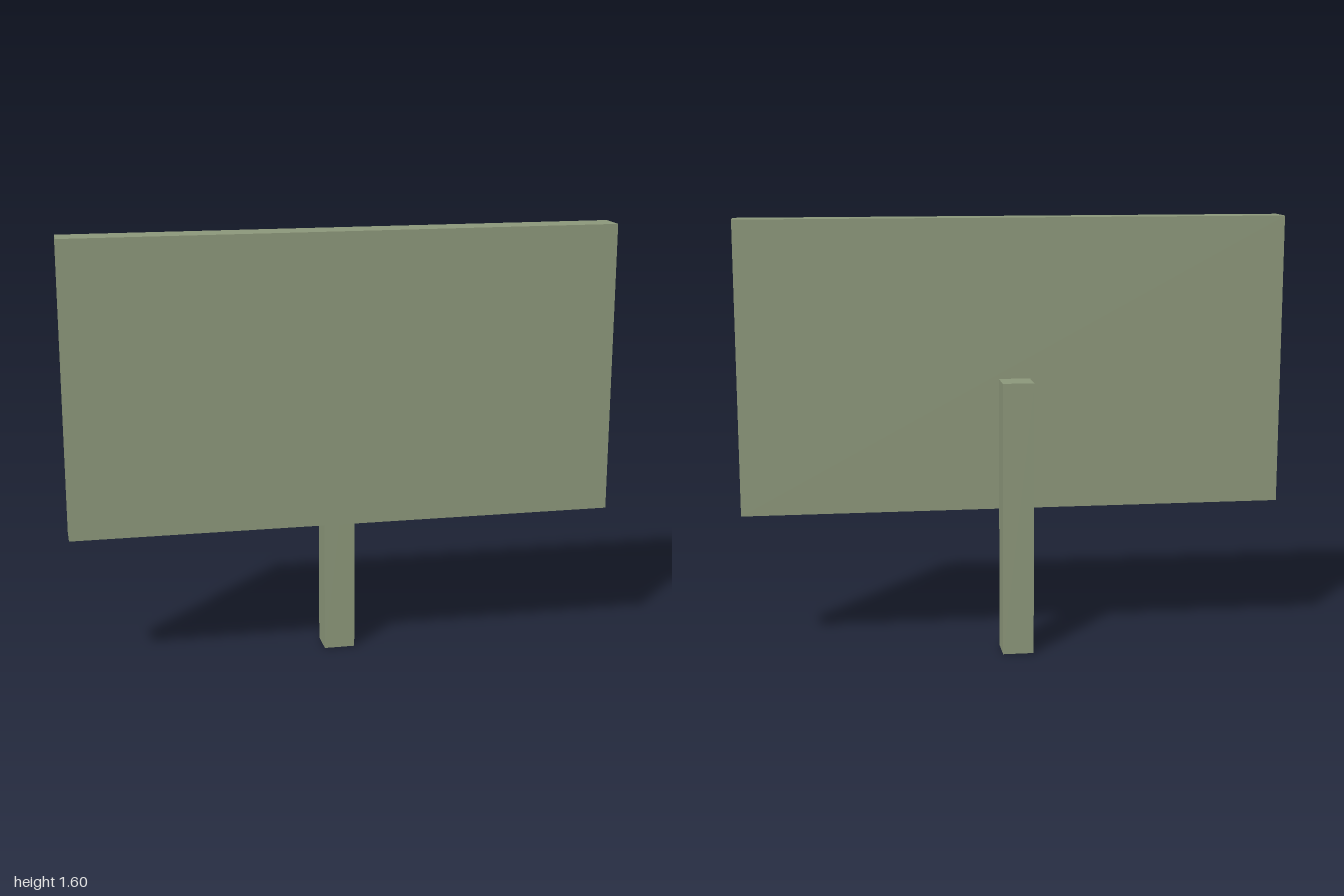
import * as THREE from 'three';

export function createModel() {
  const group = new THREE.Group();
  const material = new THREE.MeshStandardMaterial({ color: 0x8c977a, flatShading: true });

  // Box given by its minimum and maximum corners
  function addBox(name, min, max) {
    const size = max.map((v, i) => v - min[i]);
    const mesh = new THREE.Mesh(new THREE.BoxGeometry(...size), material);
    mesh.position.set(...max.map((v, i) => (v + min[i]) / 2));
    mesh.name = name;
    group.add(mesh);
  }

  // Wide sign panel in front, square post fixed flush to its back
  addBox('signBoard', [-1, 0.527, 0], [1, 1.597, 0.113]);
  addBox('post', [-0.058, 0, -0.113], [0.056, 1.013, 0]);

  return group;
}
